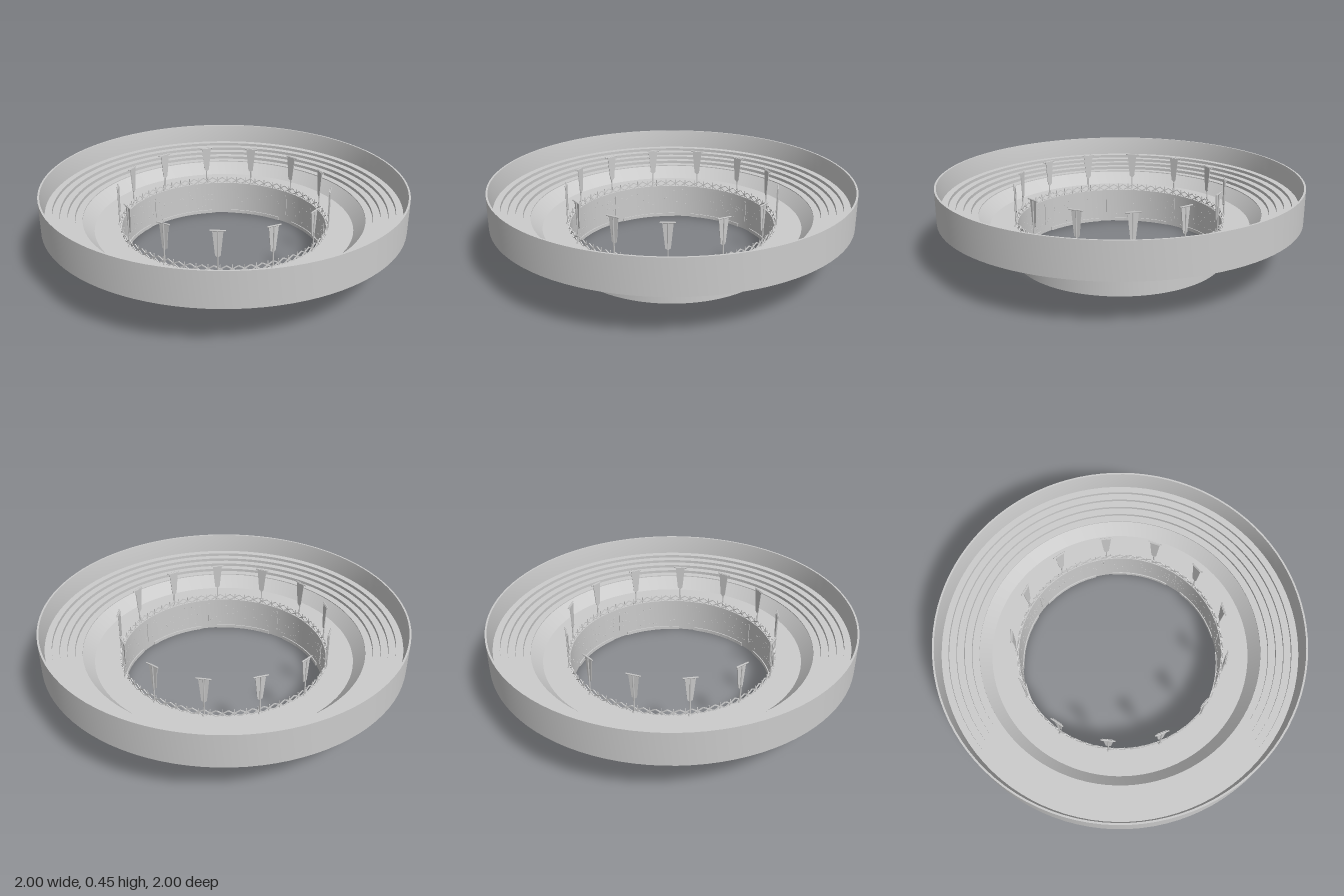
import * as THREE from 'three';
import { mergeGeometries, toCreasedNormals } from 'three/addons/utils/BufferGeometryUtils.js';

const SEGMENTS = 96;
const material = new THREE.MeshStandardMaterial({ color: 0xcccccc, side: THREE.DoubleSide });

function addMesh(parent, name, geometry) {
  const mesh = new THREE.Mesh(geometry, material);
  mesh.name = name;
  parent.add(mesh);
  return mesh;
}

// Revolve a closed [radius, height] profile with sharp edges
function ring(profile) {
  const points = [...profile, profile[0]].map(([r, y]) => new THREE.Vector2(r, y));
  return toCreasedNormals(new THREE.LatheGeometry(points, SEGMENTS), 0.5);
}

// Place a geometry built around x = 0, facing +z, onto a circle
function onCircle(geometry, radius, y, angle) {
  return geometry.translate(0, y, radius).rotateY(angle);
}

// Thin bar between two points in the xy plane
function bar(x1, y1, x2, y2, thickness) {
  const length = Math.hypot(x2 - x1, y2 - y1);
  return new THREE.BoxGeometry(length, thickness, thickness)
    .rotateZ(Math.atan2(y2 - y1, x2 - x1))
    .translate((x1 + x2) / 2, (y1 + y2) / 2, 0);
}

function seededRandom(seed) {
  return () => {
    seed = (seed * 16807) % 2147483647;
    return seed / 2147483647;
  };
}

function createBanner() {
  const banner = new THREE.Group();
  banner.name = 'banner';
  addMesh(banner, 'bannerPole', new THREE.CylinderGeometry(0.004, 0.004, 0.23, 6).translate(0, 0.115, 0));
  addMesh(banner, 'bannerFoot', new THREE.CylinderGeometry(0.006, 0.011, 0.012, 8).translate(0, 0.006, 0));
  addMesh(banner, 'bannerCrossbar', new THREE.CylinderGeometry(0.004, 0.004, 0.078, 6)
    .rotateZ(Math.PI / 2).translate(0, 0.232, 0));
  const cloth = new THREE.Shape([
    [-0.028, 0.232], [-0.014, 0.095], [0, 0.083], [0.014, 0.095], [0.028, 0.232],
  ].map(([x, y]) => new THREE.Vector2(x, y)));
  addMesh(banner, 'bannerCloth',
    new THREE.ExtrudeGeometry(cloth, { depth: 0.004, bevelEnabled: false }).translate(0, 0, 0.003));
  return banner;
}

export function createModel() {
  const model = new THREE.Group();
  model.name = 'arena';

  // Pit wall and the walkway around it
  addMesh(model, 'pitWall', ring([[0.57, 0], [0.592, 0], [0.592, 0.195], [0.57, 0.195]]));
  addMesh(model, 'walkway', ring([[0.57, 0.187], [0.72, 0.187], [0.72, 0.205], [0.57, 0.205]]));

  // Sloped parapet and stepped seating as one thin shell
  const top = [[0.72, 0.205], [0.78, 0.27]];
  for (let i = 0; i < 5; i++) {
    const r = 0.78 + i * 0.039;
    const y = 0.275 + i * 0.017;
    top.push([r, y], [r + 0.039, y]);
  }
  const underside = top.map(([r, y]) => [r + 0.004, y - 0.005]);
  addMesh(model, 'seating', ring([...underside, ...top.slice().reverse()]));

  // Outer wall, leaning slightly inward on its inner face
  addMesh(model, 'outerWall', ring([
    [0.985, 0.26], [1, 0.26], [1, 0.45], [0.99, 0.45], [0.973, 0.343], [0.973, 0.335], [0.985, 0.33],
  ]));

  // Railing of crossed bars around the pit
  const railing = [];
  const bays = 60;
  for (let i = 0; i < bays; i++) {
    const angle = (i / bays) * Math.PI * 2;
    const half = (Math.PI * 0.576) / bays;
    const pieces = [
      bar(-half, 0, half, 0.036, 0.005),
      bar(-half, 0.036, half, 0, 0.005),
      bar(0, 0, 0, 0.042, 0.004),
    ];
    for (const piece of pieces) railing.push(onCircle(piece, 0.576, 0.203, angle));
  }
  addMesh(model, 'railing', mergeGeometries(railing));

  // Banners on poles around the railing
  const banners = new THREE.Group();
  banners.name = 'banners';
  for (let i = 0; i < 13; i++) {
    const angle = THREE.MathUtils.degToRad(100) + (i / 13) * Math.PI * 2;
    const banner = createBanner();
    banner.position.set(Math.sin(angle) * 0.582, 0.203, Math.cos(angle) * 0.582);
    banner.rotation.y = angle + Math.PI;
    banners.add(banner);
  }
  model.add(banners);

  // Low curved ledges and upright ribs on the inside of the pit
  const ledges = [];
  const ribs = [];
  for (let i = 0; i < 8; i++) {
    const start = (i / 8) * Math.PI * 2;
    for (let j = 0; j < 6; j++) {
      ledges.push(onCircle(new THREE.BoxGeometry(0.06, 0.02, 0.008), 0.568, 0.01, start + (j - 2.5) * 0.1));
    }
    ribs.push(onCircle(new THREE.BoxGeometry(0.007, 0.13, 0.006), 0.569, 0.115, start + 0.39));
  }
  addMesh(model, 'pitLedges', mergeGeometries(ledges));
  addMesh(model, 'pitRibs', mergeGeometries(ribs));

  // Small studs scattered over the pit wall
  const random = seededRandom(17);
  const studs = [];
  for (let i = 0; i < 320; i++) {
    const y = 0.035 + random() * 0.14;
    studs.push(onCircle(new THREE.BoxGeometry(0.007, 0.004, 0.004), 0.57, y, random() * Math.PI * 2));
  }
  addMesh(model, 'wallStuds', mergeGeometries(studs));

  return model;
}
